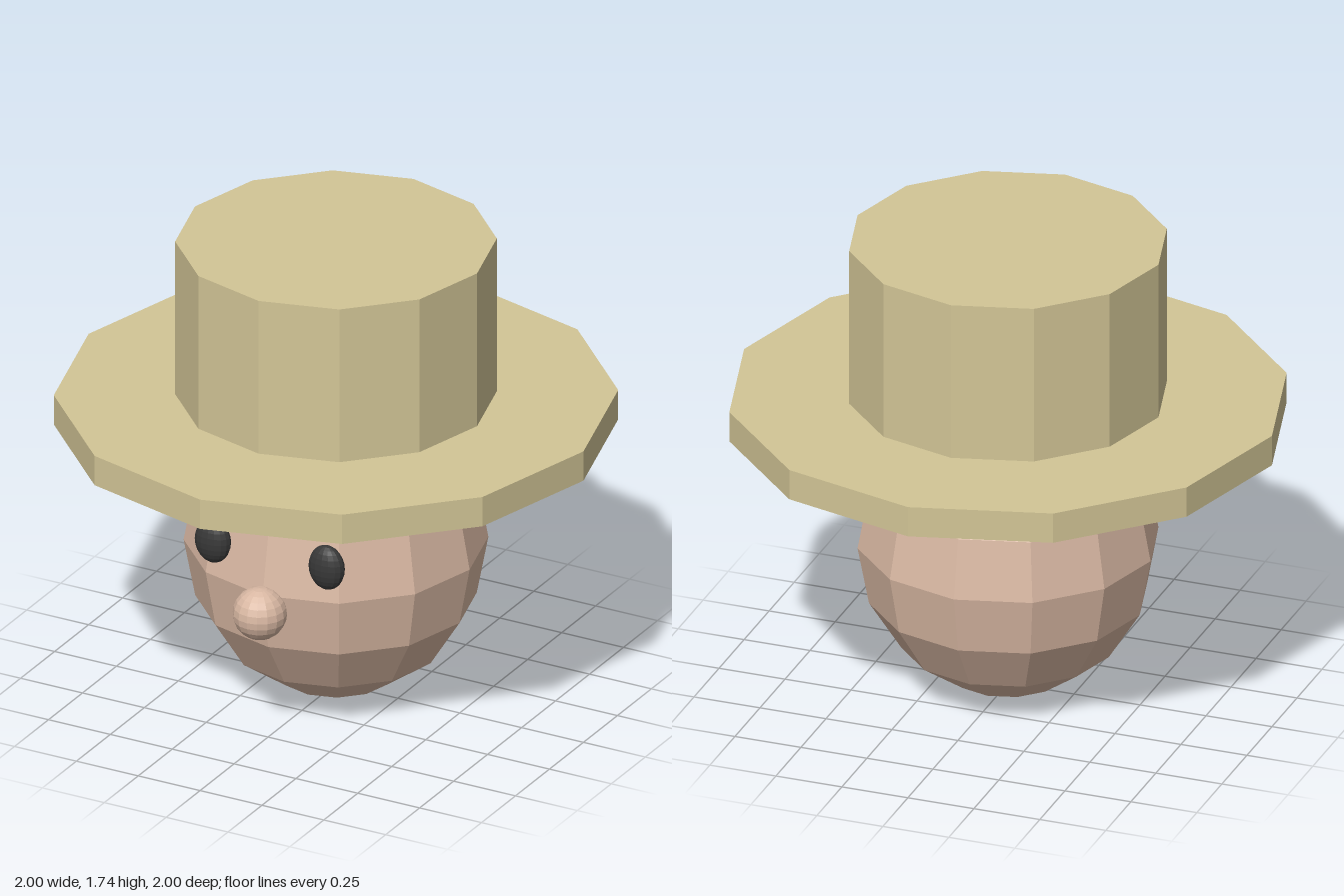
import * as THREE from 'three';

const flat = (name, color) => {
  const m = new THREE.MeshStandardMaterial({ color, flatShading: true });
  m.name = name;
  return m;
};

export function createModel() {
  const model = new THREE.Group();
  model.name = 'hattedHead';

  const straw = flat('straw', 0xd2c596);
  const skin = flat('skin', 0xd9b8a3);
  const black = flat('eyeBlack', 0x383838);

  const add = (name, geometry, material, x, y, z) => {
    const mesh = new THREE.Mesh(geometry, material);
    mesh.name = name;
    mesh.position.set(x, y, z);
    model.add(mesh);
    return mesh;
  };

  // Slightly tall, low-poly head
  const head = new THREE.SphereGeometry(0.54, 12, 8).scale(1, 0.572 / 0.54, 1);
  add('head', head, skin, 0, 0.574, 0);

  // Nose
  add('nose', new THREE.SphereGeometry(0.097, 16, 12), skin, 0, 0.515, 0.56);

  // Flattened oval eyes
  for (const side of [-1, 1]) {
    const eye = new THREE.SphereGeometry(1, 16, 12).scale(0.07, 0.085, 0.042);
    add(side > 0 ? 'leftEye' : 'rightEye', eye, black, side * 0.23, 0.717, 0.487);
  }

  // Twelve-sided hat: wide brim and straight crown
  add('hatBrim', new THREE.CylinderGeometry(1, 1, 0.115, 12), straw, 0, 1.0875, 0);
  add('hatCrown', new THREE.CylinderGeometry(0.57, 0.57, 0.6, 12), straw, 0, 1.445, 0);

  return model;
}
